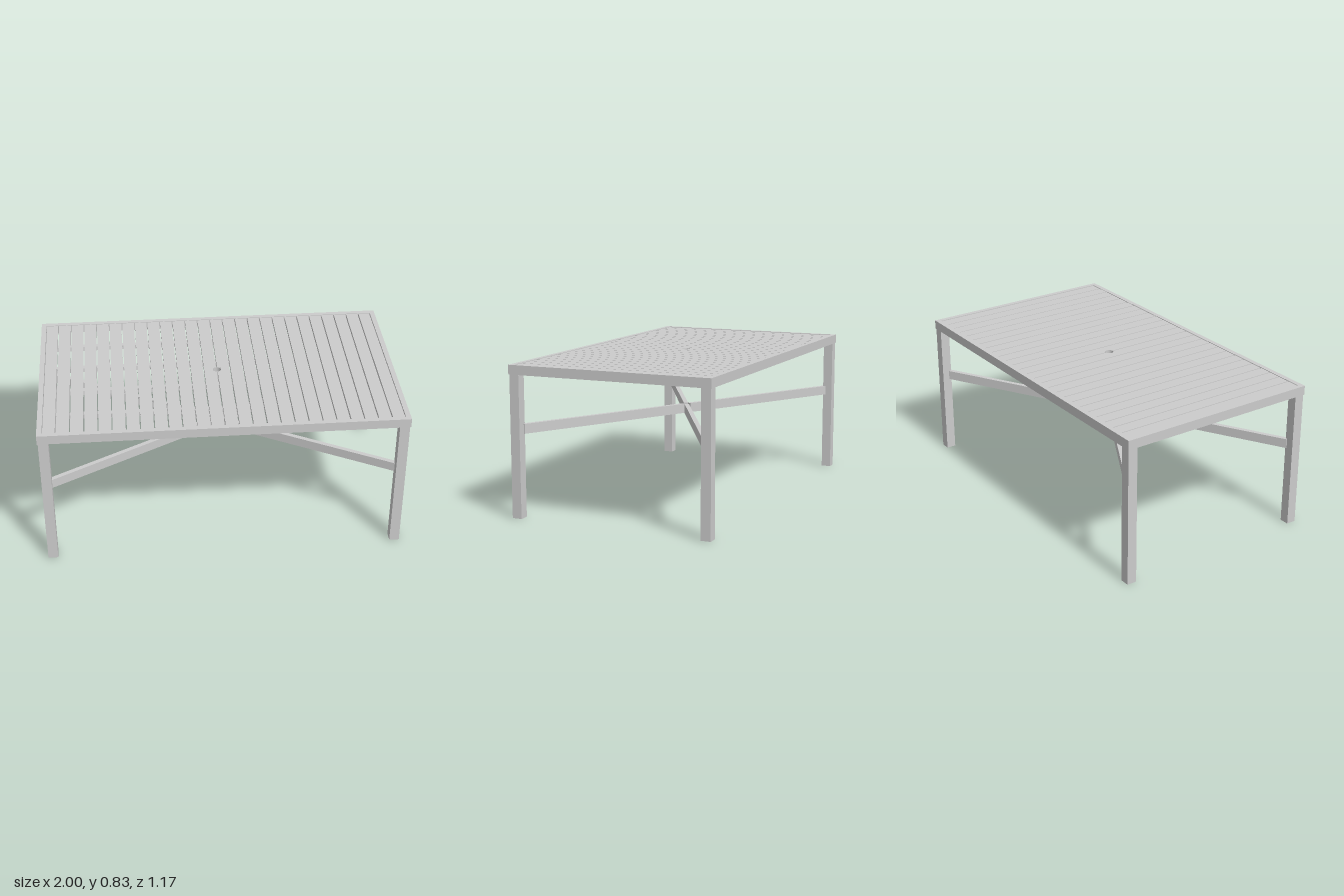
import * as THREE from 'three';

export function createModel() {
  const table = new THREE.Group();
  table.name = 'slattedTable';
  const grey = new THREE.MeshStandardMaterial({ color: 0xcccccc });
  grey.name = 'light grey';

  const add = (name, geometry, x, y, z) => {
    const mesh = new THREE.Mesh(geometry, grey);
    mesh.name = name;
    mesh.position.set(x, y, z);
    table.add(mesh);
    return mesh;
  };
  const box = (name, w, h, d, x, y, z) => add(name, new THREE.BoxGeometry(w, h, d), x, y, z);
  const rect = (T, w, d) => new T([[-w, -d], [w, -d], [w, d], [-w, d]].map(([x, y]) => new THREE.Vector2(x, y)));
  // Extrudes a plan outline upwards from y = 0
  const extrudeUp = (shape, h) =>
    new THREE.ExtrudeGeometry(shape, { depth: h, bevelEnabled: false, curveSegments: 16 }).rotateX(-Math.PI / 2);

  // Rim around the top
  const rim = rect(THREE.Shape, 1, 0.583);
  rim.holes.push(rect(THREE.Path, 0.972, 0.555));
  add('topFrame', extrudeUp(rim, 0.052), 0, 0.783, 0);

  // Slats across the top; the two middle ones are notched for the pole hole
  const pitch = 0.075, gap = 0.006, slatY = 0.812, slatH = 0.02, holeR = 0.026;
  for (let i = -13; i < 13; i++) {
    const x0 = Math.max(i * pitch, -0.972) + gap / 2;
    const x1 = Math.min((i + 1) * pitch, 0.972) - gap / 2;
    if (i === -1 || i === 0) {
      const s = new THREE.Shape();
      const a = Math.acos(gap / 2 / holeR);
      s.moveTo(gap / 2, -0.555);
      s.lineTo(pitch - gap / 2, -0.555);
      s.lineTo(pitch - gap / 2, 0.555);
      s.lineTo(gap / 2, 0.555);
      s.absarc(0, 0, holeR, a, -a, true);
      const slat = add('slat', extrudeUp(s, slatH), 0, slatY, 0);
      if (i === -1) slat.rotation.y = Math.PI;
    } else {
      box('slat', x1 - x0, slatH, 1.11, (x0 + x1) / 2, slatY + slatH / 2, 0);
    }
  }

  // Long rails under the slats
  for (const z of [-0.35, -0.117, 0.117, 0.35]) box('underRail', 1.944, 0.025, 0.03, 0, 0.7995, z);

  // Pole sleeve
  const sleeve = [[0.023, 0], [0.026, 0], [0.026, 0.07], [0.023, 0.07], [0.023, 0]];
  const sleeveParts = sleeve.slice(1).map((p, i) => [sleeve[i], p]);
  for (const pair of sleeveParts) {
    add('poleSleeve', new THREE.LatheGeometry(pair.map(([r, y]) => new THREE.Vector2(r, y)), 24), 0, 0.762, 0);
  }

  // Hollow square legs and diagonal braces that meet around the pole axis
  const angle = Math.atan2(0.53, 0.948);
  const inner = 0.0215, outer = Math.hypot(0.53, 0.948);
  for (const sx of [-1, 1]) {
    for (const sz of [-1, 1]) {
      const leg = rect(THREE.Shape, 0.0275, 0.0275);
      leg.holes.push(rect(THREE.Path, 0.0245, 0.0245));
      add('leg', extrudeUp(leg, 0.785), sx * 0.9675, 0, sz * 0.5525);

      const r = (inner + outer) / 2;
      const brace = box('brace', outer - inner, 0.053, 0.025,
        sx * r * Math.cos(angle), 0.4865, sz * r * Math.sin(angle));
      brace.rotation.y = -sx * sz * angle;
    }
  }
  return table;
}
